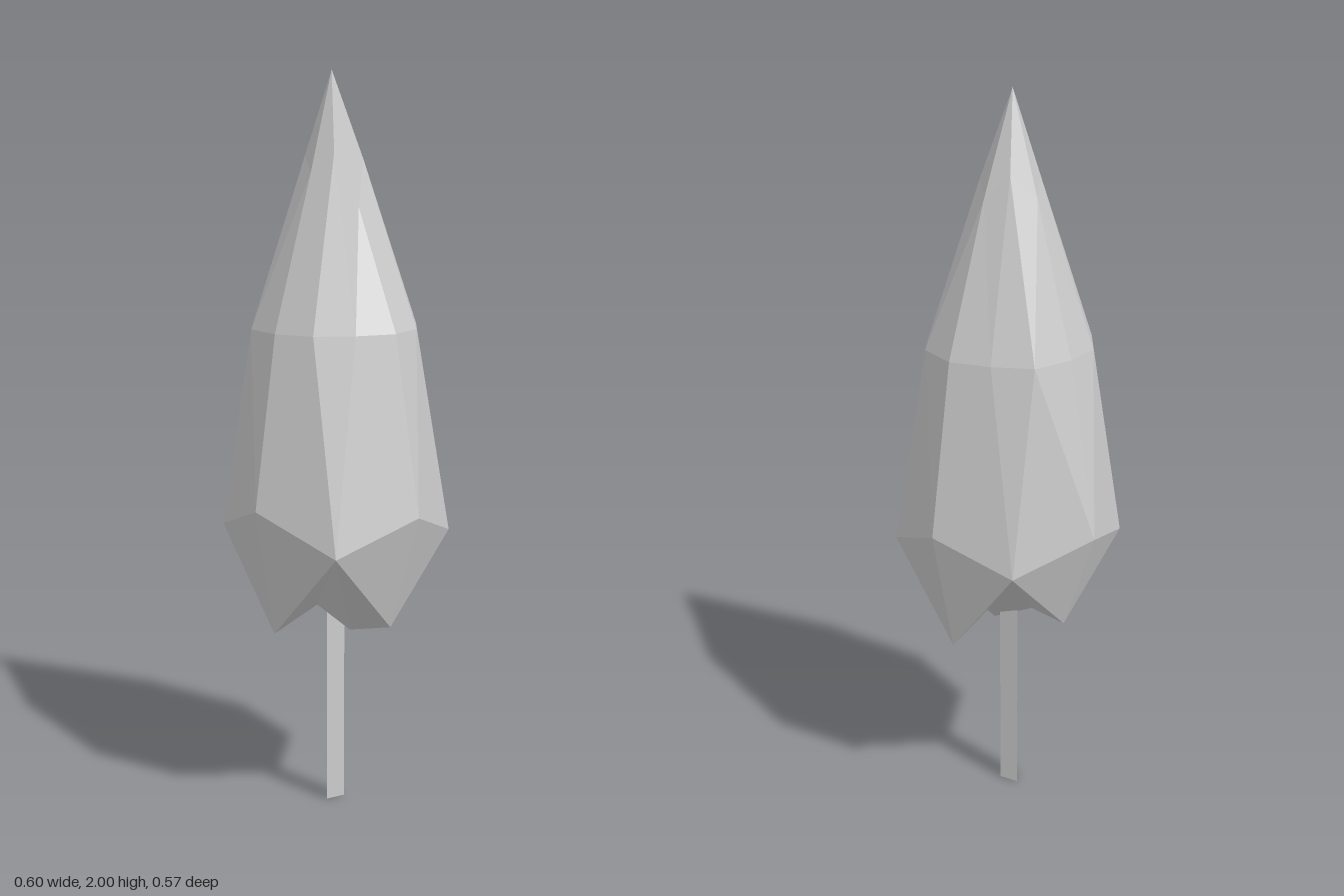
import * as THREE from 'three';

// Rings of [x, y, z], each running from the +x side round towards +z
const tips = [[0.205, 0.54, 0.06], [-0.06, 0.525, 0.22], [-0.2, 0.577, -0.06], [0.06, 0.513, -0.21]];
const core = [[0.06, 0.5, 0.02], [-0.02, 0.57, 0.06], [-0.08, 0.577, -0.02], [0.03, 0.57, -0.06]];
const bulge = [[0.297, 0.855, 0.08], [-0.077, 0.87, 0.283], [-0.298, 0.855, -0.08], [0.075, 0.86, -0.285]];
const notch = [[0.16, 0.77, 0.278], [-0.262, 0.79, 0.152], [-0.148, 0.775, -0.254], [0.27, 0.77, -0.158]];
const shoulder = [
  [0.215, 0.058], [0.143, 0.143], [0.052, 0.204], [-0.058, 0.211], [-0.161, 0.161], [-0.218, 0.057],
  [-0.21, -0.056], [-0.161, -0.161], [-0.055, -0.2], [0.057, -0.218], [0.162, -0.163], [0.216, -0.057],
].map(([x, z]) => [x, 1.33, z]);
const ridge = [[0.085, 1.65, 0.022], [-0.022, 1.74, 0.085], [-0.095, 1.73, -0.027], [0.025, 1.73, -0.09]];
const fold = [[0.037, 1.79, 0.067], [-0.067, 1.78, 0.038], [-0.037, 1.79, -0.065], [0.065, 1.77, -0.04]];
const apex = [-0.008, 2, 0];

function foliageGeometry() {
  const pos = [];
  const tri = (...corners) => corners.forEach((c) => pos.push(...c));
  // The crown is four similar leaf lobes, a quarter turn each
  for (let k = 0; k < 4; k++) {
    const n = (k + 1) % 4;
    const [m0, m1, m2, m3] = [0, 1, 2, 3].map((i) => shoulder[(3 * k + i) % 12]);
    const [h, h2, l, r, r2, v] = [bulge[k], bulge[n], notch[k], ridge[k], ridge[n], fold[k]];
    const [t, t2, c, c2] = [tips[k], tips[n], core[k], core[n]];
    // Drooping skirt
    tri(t, h, l); tri(t2, l, h2);
    // Hollow underside
    tri(t, l, c); tri(l, t2, c2); tri(l, c2, c);
    // Side band
    tri(h, m0, m1); tri(h, m1, l); tri(l, m1, m2); tri(l, m2, h2); tri(h2, m2, m3);
    // Pleated upper cone
    tri(m0, r, m1); tri(m1, r, v); tri(m1, v, m2); tri(m2, v, r2); tri(m2, r2, m3);
    // Peak
    tri(r, apex, v); tri(v, apex, r2);
  }
  // Closing of the underside
  tri(core[0], core[1], core[2]); tri(core[0], core[2], core[3]);
  const geo = new THREE.BufferGeometry();
  geo.setAttribute('position', new THREE.Float32BufferAttribute(pos, 3));
  geo.computeVertexNormals();
  return geo;
}

export function createModel() {
  const tree = new THREE.Group();
  tree.name = 'cypressTree';
  const material = new THREE.MeshStandardMaterial({ color: 0xcccccc, flatShading: true });

  const foliage = new THREE.Mesh(foliageGeometry(), material);
  foliage.name = 'foliage';

  // Three-sided trunk reaching into the foliage
  const trunk = new THREE.Mesh(new THREE.CylinderGeometry(0.032, 0.032, 0.64, 3), material);
  trunk.position.set(-0.003, 0.32, 0.004);
  trunk.name = 'trunk';

  tree.add(foliage, trunk);
  return tree;
}
